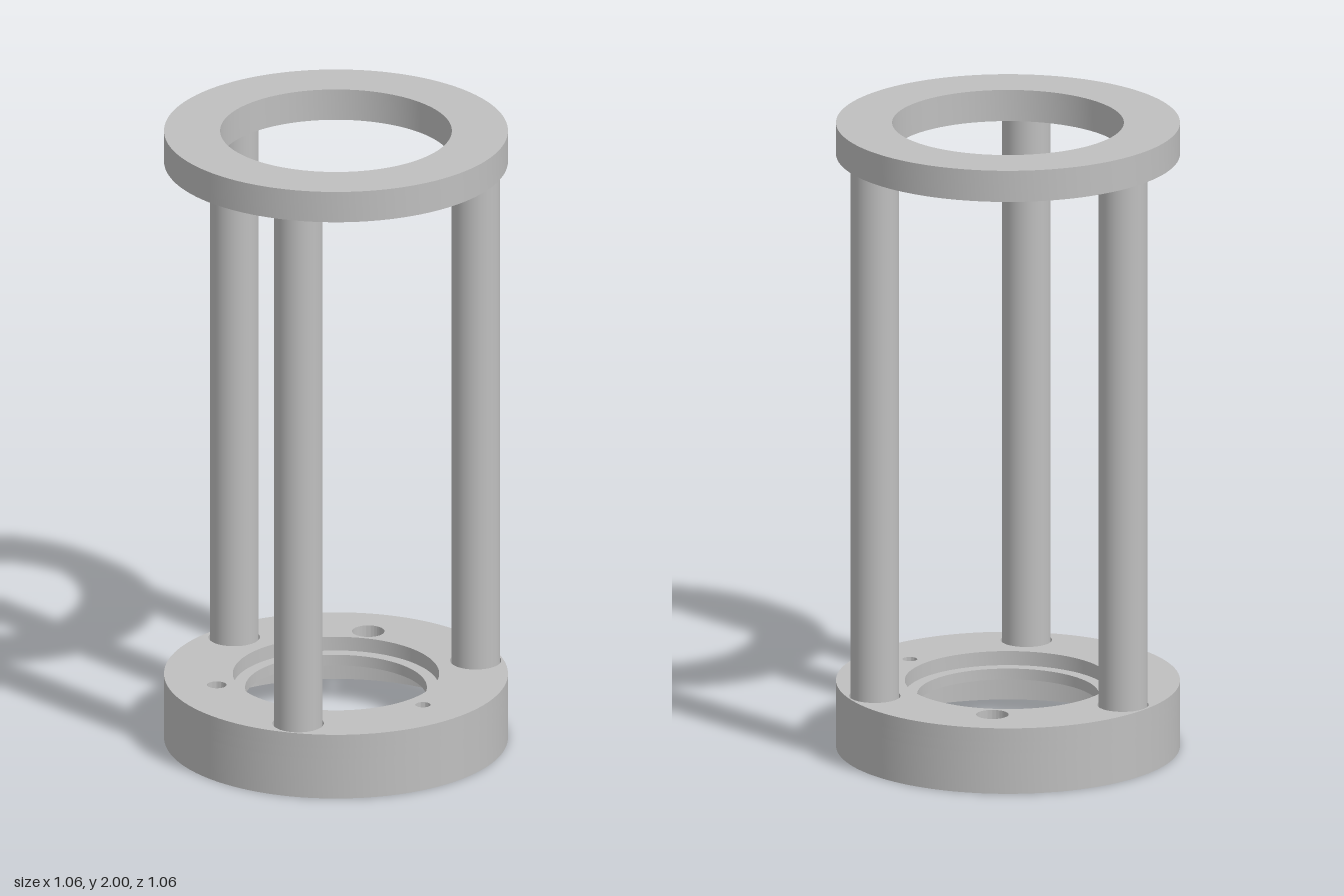
import * as THREE from 'three';
import { toCreasedNormals } from 'three/addons/utils/BufferGeometryUtils.js';

const OUTER = 0.53;
const POST_R = 0.075, POST_CIRCLE = 0.445;
const HOLE_CIRCLE = 0.38;

// Point on a circle around the vertical axis: [x, z]
const polar = (radius, degrees) => {
  const a = THREE.MathUtils.degToRad(degrees);
  return [radius * Math.cos(a), radius * Math.sin(a)];
};

// Horizontal round plate between two heights, with round holes [x, z, radius]
function plate(outer, bottom, top, holes) {
  const shape = new THREE.Shape().absarc(0, 0, outer, 0, Math.PI * 2, false);
  for (const [x, z, r] of holes) {
    shape.holes.push(new THREE.Path().absarc(x, z, r, 0, Math.PI * 2, true));
  }
  const geometry = new THREE.ExtrudeGeometry(shape, {
    depth: top - bottom, bevelEnabled: false, curveSegments: 80,
  });
  geometry.rotateX(Math.PI / 2).translate(0, top, 0);
  return toCreasedNormals(geometry, Math.PI / 6);
}

export function createModel() {
  const group = new THREE.Group();
  const gray = new THREE.MeshStandardMaterial({ color: 0xbfbfbf });
  gray.name = 'plain gray';

  const add = (name, geometry) => {
    const mesh = new THREE.Mesh(geometry, gray);
    mesh.name = name;
    group.add(mesh);
    return mesh;
  };

  const postSpots = [60, 180, 300].map((deg) => polar(POST_CIRCLE, deg));

  // Three through holes of different size between the posts
  const boltHoles = [[0, 0.023], [120, 0.03], [240, 0.05]]
    .map(([deg, r]) => [...polar(HOLE_CIRCLE, deg), r]);

  // Shallow sockets around the feet of the posts
  const sockets = postSpots.map(([x, z]) => [x, z, POST_R + 0.004]);

  // Base: hollow skirt, floor with the narrow opening, upper plate with the wider one
  add('baseSkirt', plate(OUTER, 0, 0.13, [[0, 0, 0.505]]));
  add('baseFloor', plate(OUTER, 0.13, 0.165, [[0, 0, 0.28], ...boltHoles]));
  add('baseTopPlate', plate(OUTER, 0.165, 0.21, [[0, 0, 0.318], ...boltHoles, ...sockets]));

  // Posts
  const postGeometry = new THREE.CylinderGeometry(POST_R, POST_R, 1.9 - 0.165, 48);
  postSpots.forEach(([x, z], i) => {
    add(`post${i + 1}`, postGeometry).position.set(x, (1.9 + 0.165) / 2, z);
  });

  // Top ring
  add('topRing', plate(OUTER, 1.9, 2, [[0, 0, 0.357]]));

  return group;
}
